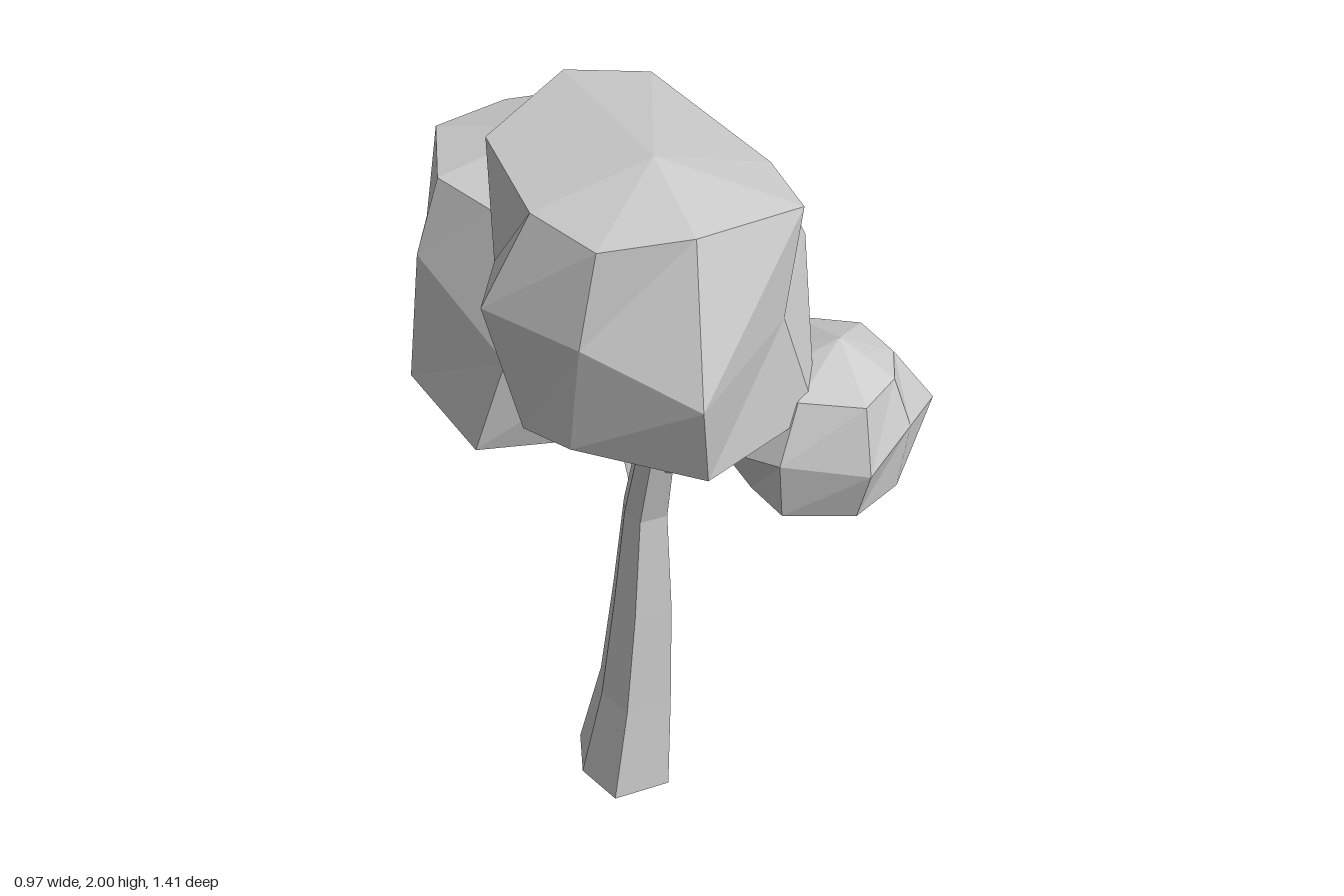
import * as THREE from 'three';

const material = new THREE.MeshStandardMaterial({ color: 0xcccccc, flatShading: true });

// Closed faceted loft through rings of [x, y, z] points, with a point at each end
function loft(name, rings, bottom, top) {
  const n = rings[0].length, last = (rings.length - 1) * n;
  const points = [...rings.flat(), bottom, top];
  const low = points.length - 2, high = points.length - 1;
  const index = [];
  for (let i = 0; i < n; i++) {
    const j = (i + 1) % n;
    index.push(low, i, j, high, last + j, last + i);
    for (let r = 0; r < last; r += n) {
      index.push(r + i, r + n + i, r + j, r + j, r + n + i, r + n + j);
    }
  }
  const geometry = new THREE.BufferGeometry();
  geometry.setAttribute('position', new THREE.Float32BufferAttribute(points.flat(), 3));
  geometry.setIndex(index);
  const flat = geometry.toNonIndexed();
  flat.computeVertexNormals();
  const mesh = new THREE.Mesh(flat, material);
  mesh.name = name;
  return mesh;
}

// Limb from level rings given as [x, y, z, half width, half depth]
function limb(name, sections, sides) {
  const depthScale = sides === 6 ? 1.3 : 1;
  const rings = sections.map(([x, y, z, rx, rz]) => Array.from({ length: sides }, (_, i) => {
    const a = -(i / sides) * Math.PI * 2;
    const b = a - 0.2 * Math.sin(2 * a); // broadens the front and back faces
    return [x + Math.cos(b) * rx, y, z + Math.sin(b) * rz * depthScale];
  }));
  const centres = sections.map(s => s.slice(0, 3));
  return loft(name, rings.map(r => r.reverse()), centres[0], centres[centres.length - 1]);
}

// Foliage clump: each ring of eight runs front, front-left, left, back-left,
// back, back-right, right, front-right
function clump(name, bottom, low, middle, high, top) {
  const rings = [low, middle, high].map(r => [...r].reverse());
  return loft(name, rings, bottom, top);
}

export function createModel() {
  const tree = new THREE.Group();
  tree.name = 'tree';

  // Trunk flares at the base and leans forward above the fork
  tree.add(limb('trunk', [
    [-0.057, 0, 0, 0.113, 0.122],
    [-0.035, 0.28, 0.027, 0.09, 0.088],
    [-0.022, 0.58, 0.04, 0.073, 0.07],
    [-0.018, 0.86, 0.05, 0.053, 0.05],
    [-0.02, 1.1, 0.12, 0.043, 0.042],
    [-0.005, 1.49, 0.255, 0.037, 0.04],
  ], 6));

  // Side branches
  tree.add(limb('backBranch', [
    [0, 0.76, 0.03, 0.038, 0.04],
    [0.01, 0.87, -0.02, 0.038, 0.05],
    [0.01, 1.02, -0.195, 0.022, 0.038],
  ], 4));
  tree.add(limb('leftBranch', [
    [0, 1.03, 0.12, 0.034, 0.035],
    [0.05, 1.12, 0.18, 0.04, 0.035],
    [0.16, 1.25, 0.3, 0.035, 0.032],
  ], 4));

  // Tall front clump
  tree.add(clump('frontFoliage', [-0.13, 1.33, 0.38],
    [[-0.13, 1.41, 0.645], [0.16, 1.42, 0.53], [0.15, 1.42, 0.32], [0.09, 1.43, 0.17],
      [-0.13, 1.43, 0.11], [-0.35, 1.43, 0.14], [-0.41, 1.41, 0.34], [-0.36, 1.44, 0.48]],
    [[-0.17, 1.63, 0.705], [0.07, 1.69, 0.55], [0.22, 1.72, 0.33], [0.13, 1.67, 0.11],
      [-0.13, 1.66, -0.06], [-0.38, 1.67, 0.11], [-0.485, 1.72, 0.33], [-0.36, 1.72, 0.54]],
    [[-0.14, 1.95, 0.59], [0.11, 1.93, 0.535], [0.12, 1.93, 0.36], [0.04, 1.935, -0.06],
      [-0.13, 1.94, -0.13], [-0.37, 1.935, 0.06], [-0.385, 1.93, 0.355], [-0.32, 1.93, 0.535]],
    [-0.13, 2, 0.36]));

  // Broad back clump
  tree.add(clump('backFoliage', [-0.21, 0.92, -0.32],
    [[-0.12, 1.01, -0.06], [0.08, 1.02, -0.1], [0.15, 1.11, -0.39], [0.1, 1.03, -0.575],
      [-0.08, 1.02, -0.625], [-0.29, 1.02, -0.58], [-0.435, 1.06, -0.39], [-0.37, 1.01, -0.12]],
    [[-0.08, 1.28, 0.03], [0.14, 1.28, -0.06], [0.3, 1.39, -0.33], [0.14, 1.33, -0.615],
      [-0.08, 1.33, -0.705], [-0.3, 1.33, -0.63], [-0.4, 1.39, -0.39], [-0.31, 1.28, -0.06]],
    [[-0.08, 1.61, -0.13], [0.06, 1.58, -0.23], [0.14, 1.57, -0.39], [0.11, 1.61, -0.59],
      [-0.08, 1.58, -0.665], [-0.27, 1.58, -0.61], [-0.34, 1.58, -0.39], [-0.27, 1.57, -0.23]],
    [-0.08, 1.65, -0.39]));

  // Small left clump
  tree.add(clump('leftFoliage', [0.22, 1.115, 0.45],
    [[0.23, 1.18, 0.61], [0.35, 1.19, 0.56], [0.4, 1.14, 0.46], [0.36, 1.16, 0.33],
      [0.23, 1.15, 0.24], [0.09, 1.18, 0.32], [0.06, 1.19, 0.45], [0.08, 1.19, 0.56]],
    [[0.23, 1.32, 0.66], [0.36, 1.36, 0.58], [0.48, 1.32, 0.46], [0.35, 1.36, 0.275],
      [0.23, 1.39, 0.205], [0.08, 1.34, 0.29], [-0.01, 1.31, 0.45], [0.06, 1.34, 0.58]],
    [[0.23, 1.47, 0.62], [0.33, 1.47, 0.55], [0.38, 1.46, 0.45], [0.35, 1.48, 0.355],
      [0.23, 1.48, 0.28], [0.12, 1.47, 0.35], [0.1, 1.48, 0.45], [0.11, 1.47, 0.55]],
    [0.25, 1.53, 0.45]));

  return tree;
}
